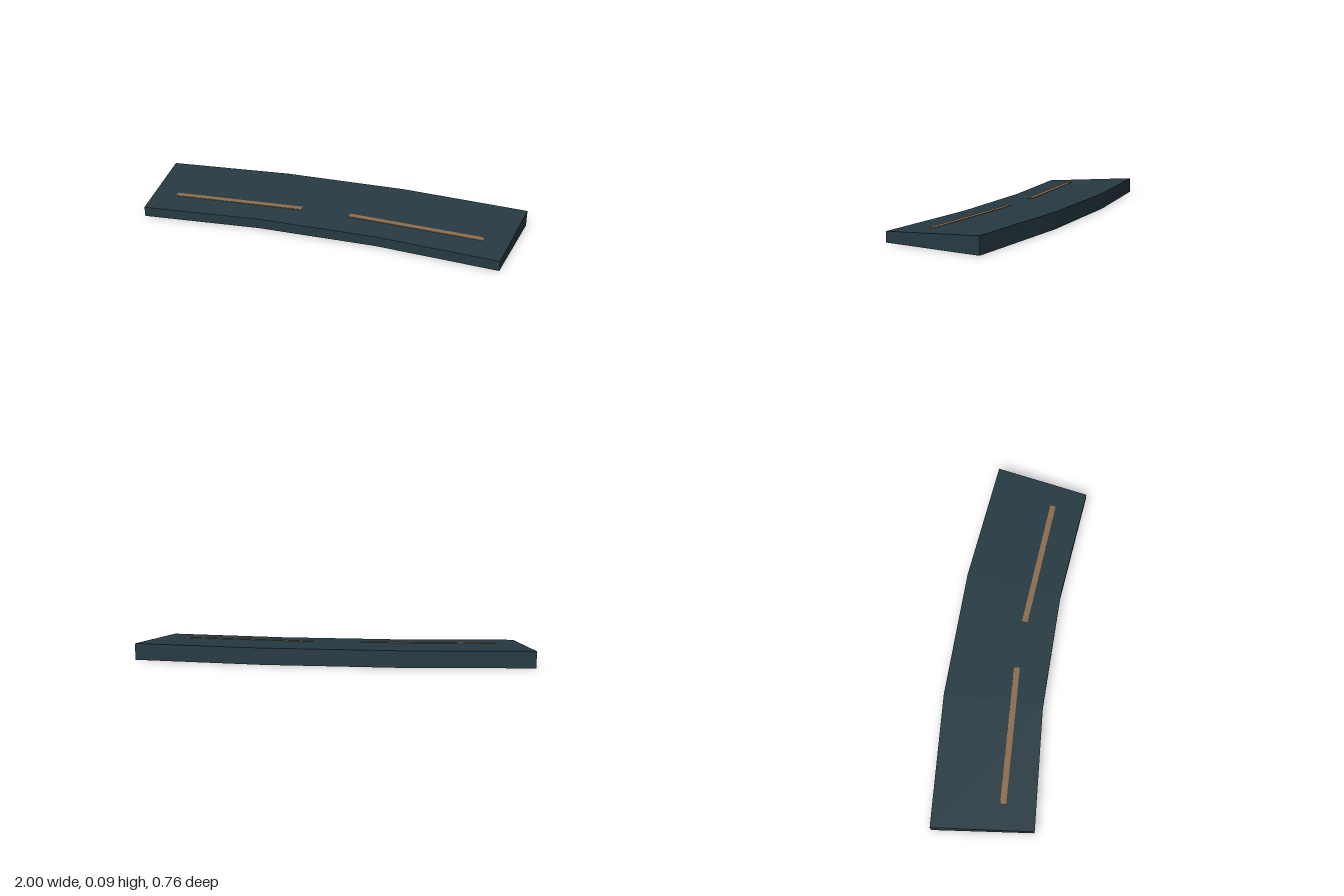
import * as THREE from 'three';

const START_X = -1, CENTRE_Z = 7.347;          // centre of the bend
const INNER = 7.217, OUTER = 7.727;            // edge radii
const LOW = 0.052, HIGH = 0.085;               // banked edge heights
const SWEEP = THREE.MathUtils.degToRad(15), STEPS = 3;

const onBend = (radius, angle, y) => new THREE.Vector3(
  START_X + radius * Math.sin(angle), y, CENTRE_Z - radius * Math.cos(angle));

// Wedge-shaped cross-section swept along the bend, with closed ends
function slabGeometry() {
  const positions = [];
  const quad = (a, b, c, d) => [a, b, c, a, c, d].forEach(p => positions.push(p.x, p.y, p.z));
  const sections = [];
  for (let i = 0; i <= STEPS; i++) {
    const angle = SWEEP * i / STEPS;
    sections.push([
      onBend(INNER, angle, 0), onBend(OUTER, angle, 0),
      onBend(OUTER, angle, HIGH), onBend(INNER, angle, LOW),
    ]);
  }
  for (let i = 0; i < STEPS; i++) {
    const s = sections[i], t = sections[i + 1];
    for (let k = 0; k < 4; k++) {
      const n = (k + 1) % 4;
      quad(s[k], s[n], t[n], t[k]);
    }
  }
  const [a, b, c, d] = sections[0];
  quad(d, c, b, a);
  quad(...sections[STEPS]);
  const geometry = new THREE.BufferGeometry();
  geometry.setAttribute('position', new THREE.Float32BufferAttribute(positions, 3));
  geometry.computeVertexNormals();
  return geometry;
}

export function createModel() {
  const group = new THREE.Group();
  group.name = 'bankedRoadBend';

  const asphalt = new THREE.MeshStandardMaterial({ color: 0x263a42 });
  asphalt.name = 'dark slate';
  const paint = new THREE.MeshStandardMaterial({ color: 0x8e6c4c });
  paint.name = 'dull copper';

  const slab = new THREE.Mesh(slabGeometry(), asphalt);
  slab.name = 'roadSlab';
  group.add(slab);

  // Two straight lane dashes lying on the banked surface
  const radius = 7.368;
  const slope = (HIGH - LOW) / (OUTER - INNER);
  const height = LOW + slope * (radius - INNER);
  [0.25, 0.75].forEach((t, i) => {
    const angle = SWEEP * t;
    const dash = new THREE.Mesh(new THREE.BoxGeometry(0.708, 0.004, 0.03), paint);
    dash.name = `laneDash${i + 1}`;
    dash.position.copy(onBend(radius, angle, height + 0.001));
    dash.rotation.set(Math.atan(slope), -angle, 0, 'YXZ');
    group.add(dash);
  });
  return group;
}
